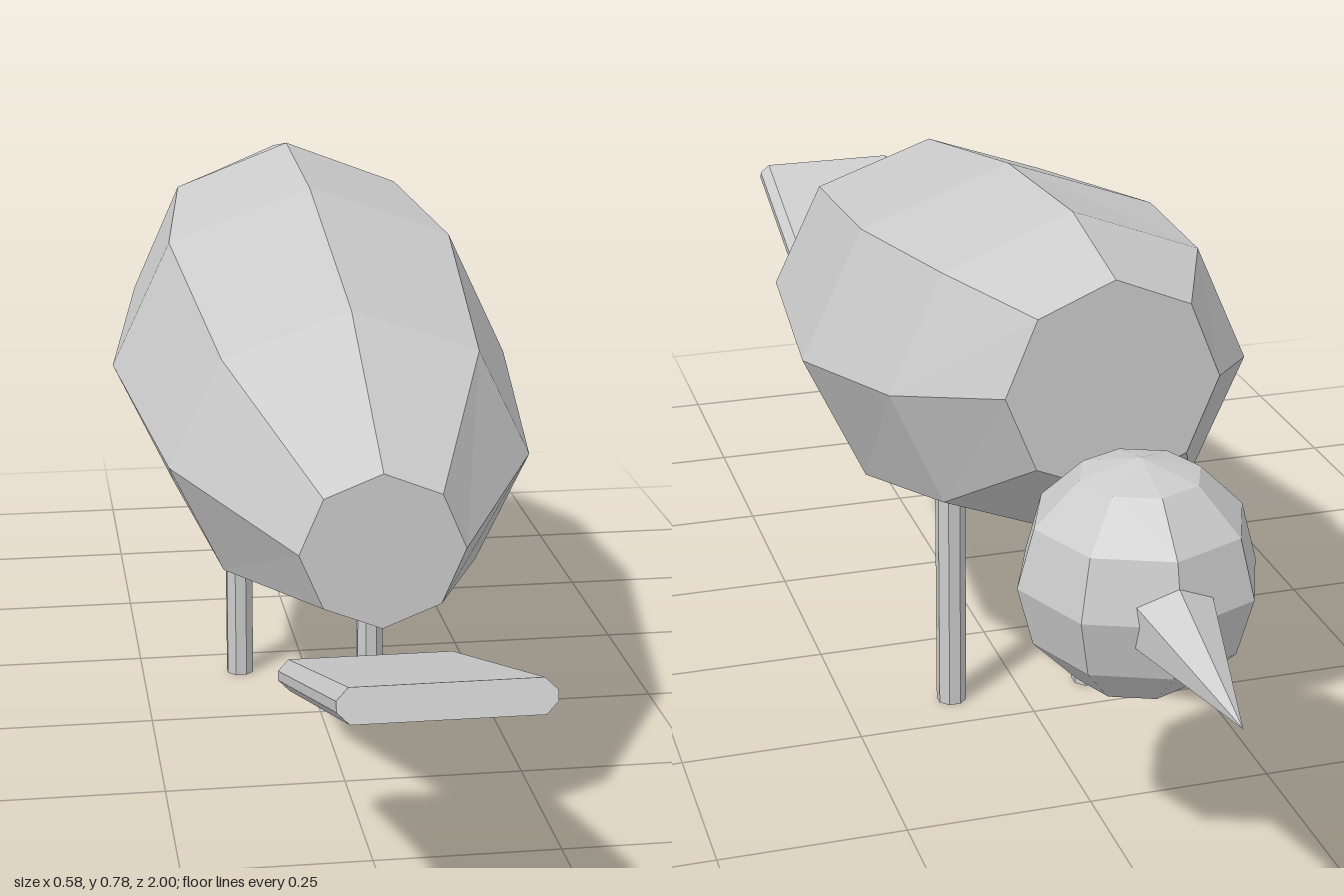
import * as THREE from 'three';

const material = new THREE.MeshStandardMaterial({ color: 0xcccccc, flatShading: true });

function part(name, geometry, parent) {
  const mesh = new THREE.Mesh(geometry, material);
  mesh.name = name;
  parent.add(mesh);
  return mesh;
}

// Closed loft through polygonal sections, ordered from +z to -z:
// [z, centre height, half width, half height]
function loft(sections, sides) {
  const points = [];
  const index = [];
  for (const [z, y, rx, ry] of sections) {
    for (let i = 0; i < sides; i++) {
      const a = (i / sides) * Math.PI * 2;
      points.push(Math.sin(a) * rx, y + Math.cos(a) * ry, z);
    }
  }
  const last = (sections.length - 1) * sides;
  for (let i = 0; i < sides; i++) {
    const j = (i + 1) % sides;
    for (let r = 0; r < last; r += sides) {
      index.push(r + i, r + j, r + sides + i, r + j, r + sides + j, r + sides + i);
    }
    // End caps
    if (i > 0 && i < sides - 1) {
      index.push(0, j, i, last, last + i, last + j);
    }
  }
  const geometry = new THREE.BufferGeometry();
  geometry.setAttribute('position', new THREE.Float32BufferAttribute(points, 3));
  geometry.setIndex(index);
  const flat = geometry.toNonIndexed();
  flat.computeVertexNormals();
  return flat;
}

export function createModel() {
  const bird = new THREE.Group();
  bird.name = 'bird';

  // Plump body, from the tail end to the neck end
  const sections = [
    [0.563, 0.445, 0.104, 0.1],
    [0.293, 0.479, 0.24, 0.204],
    [-0.115, 0.512, 0.289, 0.253],
    [-0.39, 0.563, 0.238, 0.22],
    [-0.557, 0.612, 0.137, 0.138],
  ];
  part('body', loft(sections, 8), bird);

  // Head
  const head = part('head', new THREE.SphereGeometry(0.152, 8, 6), bird);
  head.position.set(0, 0.41, -0.657);

  // Beak, pointing backward along -z and dipping slightly
  const tip = new THREE.Vector3(0, 0.384, -1);
  const base = new THREE.Vector3(0, 0.406, -0.77);
  const beak = part('beak', new THREE.ConeGeometry(0.057, tip.distanceTo(base), 6), bird);
  beak.position.copy(tip).add(base).multiplyScalar(0.5);
  beak.rotation.x = -Math.PI / 2 - Math.atan2(base.y - tip.y, base.z - tip.z);

  // Flat tail with chamfered long edges
  const w = 0.12, t = 0.02, c = 0.014;
  const outline = new THREE.Shape([
    [-w + c, -t], [w - c, -t], [w, -t + c], [w, t - c],
    [w - c, t], [-w + c, t], [-w, t - c], [-w, -t + c],
  ].map(([x, y]) => new THREE.Vector2(x, y)));
  const length = 0.546;
  const tailGeometry = new THREE.ExtrudeGeometry(outline, { depth: length, bevelEnabled: false });
  tailGeometry.translate(0, 0, -length / 2);
  const tail = part('tail', tailGeometry, bird);
  tail.position.set(0, 0.341, 0.736);
  tail.rotation.x = -Math.atan2(0.17, 0.512);

  // Legs
  for (const side of [-1, 1]) {
    const leg = part(side > 0 ? 'leftLeg' : 'rightLeg', new THREE.CylinderGeometry(0.021, 0.021, 0.325, 8), bird);
    leg.position.set(side * 0.101, 0.1625, -0.18);
    leg.rotation.y = Math.PI / 8;
  }

  return bird;
}
